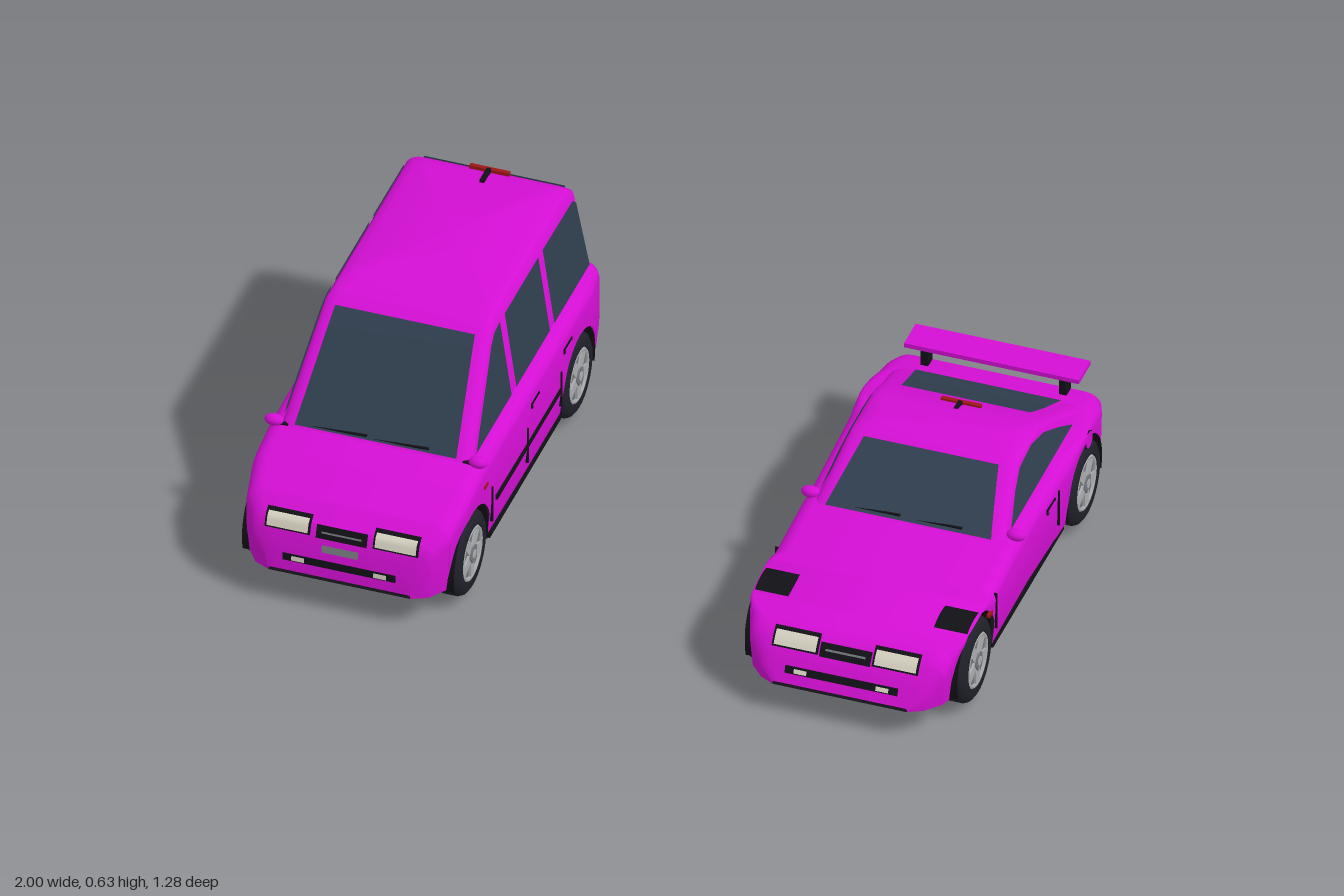
import * as THREE from 'three';
import { toCreasedNormals } from 'three/addons/utils/BufferGeometryUtils.js';

const mat = (name, color) => new THREE.MeshStandardMaterial({ name, color, side: THREE.DoubleSide });
const M = {
  paint: mat('magenta paint', 0xd40fd4), glass: mat('dark glass', 0x2f3e4e), black: mat('black trim', 0x111116),
  tire: mat('tire rubber', 0x20202a), rim: mat('rim silver', 0xa9abae), shade: mat('rim shade', 0x74777b),
  lamp: mat('headlamp', 0xd9d5c4), red: mat('tail lamp red', 0x9c1616),
};
const AXLES = [0.42, -0.4], WHEEL_Y = 0.117, ARCH = 0.132;

// Linear lookup in a table of points, from column i to column j
function at(table, v, i = 0, j = 1) {
  for (let k = 0; k < table.length - 1; k++) {
    const a = table[k], b = table[k + 1];
    if ((v - a[i]) * (v - b[i]) <= 0 && a[i] !== b[i]) return a[j] + (b[j] - a[j]) * (v - a[i]) / (b[i] - a[i]);
  }
  const first = table[0], last = table[table.length - 1];
  return Math.abs(v - first[i]) < Math.abs(v - last[i]) ? first[j] : last[j];
}

// Skin a list of equally long rows of points
function skin(rows, crease = 0.6) {
  const n = rows[0].length, index = [];
  for (let i = 0; i < rows.length - 1; i++) for (let j = 0; j < n - 1; j++) {
    const a = i * n + j, c = a + n;
    index.push(a, c, a + 1, a + 1, c, c + 1);
  }
  const g = new THREE.BufferGeometry();
  g.setAttribute('position', new THREE.Float32BufferAttribute(rows.flat(2), 3));
  g.setIndex(index);
  return toCreasedNormals(g, crease);
}

function add(parent, name, geometry, material, x = 0, y = 0, z = 0) {
  const m = new THREE.Mesh(geometry, material);
  m.name = name;
  m.position.set(x, y, z);
  parent.add(m);
  return m;
}
const box = (parent, name, material, x, y, z, w, h, d) => add(parent, name, new THREE.BoxGeometry(w, h, d), material, x, y, z);

// Flat convex panel from corner points
function panel(parent, name, material, pts) {
  const g = new THREE.BufferGeometry(), index = [];
  for (let i = 1; i < pts.length - 1; i++) index.push(0, i, i + 1);
  g.setAttribute('position', new THREE.Float32BufferAttribute(pts.flat(), 3));
  g.setIndex(index);
  g.computeVertexNormals();
  return add(parent, name, g, material);
}

// Lower body shell, clipped by the wheel arches, with a black floor
function buildBody(car, { top, width, base }) {
  const z0 = top[0][0], z1 = top[top.length - 1][0], zs = top.concat(width).map(p => p[0]);
  for (let i = 0; i <= 40; i++) zs.push(z0 + (z1 - z0) * i / 40);
  for (const c of AXLES) {
    for (let k = 0; k <= 20; k++) zs.push(c + ARCH * 0.999 * Math.cos(Math.PI * k / 20));
    zs.push(c + ARCH * 1.001, c - ARCH * 1.001);
  }
  zs.sort((a, b) => b - a);
  const rows = [], floor = [];
  for (const z of zs) {
    const W = at(width, z), yt = at(top, z);
    const d = Math.min(...AXLES.map(c => Math.abs(z - c)));
    const inArch = d < ARCH;
    const yb = inArch ? Math.min(WHEEL_Y + Math.sqrt(ARCH * ARCH - d * d), yt - 0.002) : base;
    const r = Math.min(0.035, (yt - yb) / 2), h = yt - yb;
    const side = y => W * (0.97 + 0.03 * Math.min(1, (y - base) / 0.08));
    const half = [yb, yb + h * 0.3, yt - r].map(y => [side(y), y, z]);
    for (const a of [22.5, 45, 67.5, 90]) {
      const t = a * Math.PI / 180;
      half.push([side(yt - r) - r * 1.3 * (1 - Math.cos(t)), yt - r + r * Math.sin(t), z]);
    }
    half.push([0, yt, z]);
    rows.push([...half, ...half.slice(0, -1).reverse().map(([x, y, q]) => [-x, y, q])]);
    const f = inArch ? 0.2 : W * 0.97;
    floor.push([[-f, base, z], [f, base, z]]);
  }
  add(car, 'body', skin(rows), M.paint);
  add(car, 'floor', skin(floor), M.black);
  // Wheel wells
  for (const c of AXLES) for (const s of [1, -1]) {
    const end = at(width, c) - 0.006, len = end - 0.2;
    const g = new THREE.CylinderGeometry(ARCH, ARCH, len, 24, 1, true, -Math.PI * 0.6, Math.PI * 1.2);
    g.rotateY(Math.PI / 2).rotateZ(Math.PI / 2);
    g.computeBoundingBox();
    if (g.boundingBox.max.y < ARCH * 0.9) g.rotateX(Math.PI);
    if (g.boundingBox.max.z < ARCH * 0.9) g.rotateX(-Math.PI / 2);
    add(car, 'wheelWell', g, M.black, s * (0.2 + len / 2), WHEEL_Y, c);
    add(car, 'wheelWellWall', new THREE.CircleGeometry(ARCH, 24).rotateY(Math.PI / 2), M.black, s * 0.2, WHEEL_Y, c);
  }
}

// Cabin: rounded plan sections stacked upward; levels are [y, zFront, zRear, halfWidth]
function buildCabin(car, levels) {
  const rows = levels.map(([y, zf, zr, w]) => {
    const ring = [], r = 0.03;
    for (let k = 0; k < 4; k++) for (let i = 0; i <= 4; i++) {
      const a = (k + i / 4) * Math.PI / 2;
      const sx = k === 0 || k === 3 ? 1 : -1;
      ring.push([sx * (w - r) + r * Math.cos(a), y, (k < 2 ? zf - r : zr + r) + r * Math.sin(a)]);
    }
    return [...ring, ring[0]];
  });
  const [y, zf, zr] = levels[levels.length - 1];
  rows.push(rows[0].map(() => [0, y + 0.002, (zf + zr) / 2]));
  add(car, 'cabin', skin(rows), M.paint);
}

// Glass on the front (column 1) or rear (column 2) of the cabin
function endGlass(car, name, levels, column, y0, y1, w0, w1) {
  const rows = [], s = column === 1 ? 1 : -1;
  for (let i = 0; i <= 8; i++) {
    const t = i / 8, y = y0 + (y1 - y0) * t, w = w0 + (w1 - w0) * t;
    const z = at(levels, y, 0, column) + s * 0.005;
    rows.push([[s * w, y + 0.003, z], [-s * w, y + 0.003, z]]);
  }
  add(car, name, skin(rows), M.glass);
}

function sideGlass(car, levels, outline) {
  for (const s of [1, -1]) panel(car, 'sideWindow', M.glass, outline.map(([z, y]) => [s * (at(levels, y, 0, 3) + 0.004), y, z]));
}

// Thin plate lying on the nose or tail, between x0..x1 and y0..y1
function endPlate(car, name, material, top, sign, x0, x1, y0, y1, lift = 0.004) {
  const table = sign > 0 ? top : [...top].reverse(), rows = [];
  for (let i = 0; i <= 4; i++) {
    const y = y0 + (y1 - y0) * i / 4, z = at(table, y, 1, 0) + sign * lift;
    rows.push(sign > 0 ? [[x1, y, z], [x0, y, z]] : [[x0, y, z], [x1, y, z]]);
  }
  add(car, name, skin(rows), material);
}
function endPair(car, name, material, top, sign, x0, x1, y0, y1, lift) {
  endPlate(car, name, material, top, sign, x0, x1, y0, y1, lift);
  endPlate(car, name, material, top, sign, -x1, -x0, y0, y1, lift);
}

function buildWheel(car, x, z, s) {
  const g = new THREE.Group(), h = 0.038;
  g.name = 'wheel';
  const profile = [[0, -h], [0.1, -h], [0.112, -h + 0.008], [0.117, -h + 0.02], [0.117, h - 0.02], [0.112, h - 0.008], [0.1, h], [0.078, h], [0.074, h - 0.012]];
  add(g, 'tire', toCreasedNormals(new THREE.LatheGeometry(profile.map(p => new THREE.Vector2(...p)), 32), 0.7), M.tire);
  add(g, 'rimDisc', new THREE.CylinderGeometry(0.076, 0.076, 0.01, 32), M.shade, 0, h - 0.012, 0);
  add(g, 'rimRing', new THREE.TorusGeometry(0.071, 0.006, 6, 32).rotateX(Math.PI / 2), M.rim, 0, h - 0.005, 0);
  for (let i = 0; i < 5; i++) {
    const a = i * Math.PI * 0.4;
    const spoke = box(g, 'spoke', M.rim, Math.cos(a) * 0.042, h - 0.005, Math.sin(a) * 0.042, 0.055, 0.008, 0.03);
    spoke.rotation.y = -a;
  }
  add(g, 'hub', new THREE.CylinderGeometry(0.026, 0.03, 0.014, 5), M.shade, 0, h - 0.004, 0);
  add(g, 'hubCap', new THREE.CylinderGeometry(0.013, 0.013, 0.018, 12), M.rim, 0, h - 0.004, 0);
  g.position.set(s * (x - h), WHEEL_Y, z);
  g.rotation.z = -s * Math.PI / 2;
  car.add(g);
}

function buildCar(name, x, o) {
  const car = new THREE.Group();
  car.name = name;
  car.position.x = x;
  buildBody(car, o);
  buildCabin(car, o.levels);
  endGlass(car, 'windshield', o.levels, 1, ...o.windshield);
  endGlass(car, 'rearWindow', o.levels, 2, ...o.rearWindow);
  o.windows.forEach(w => sideGlass(car, o.levels, w));
  AXLES.forEach((z, i) => [1, -1].forEach(s => buildWheel(car, o.track[i], z, s)));

  // Nose: headlamps, grille, lower intake, fog lamps
  const [hx0, hx1, hy0, hy1] = o.headlamp, [iy0, iy1] = o.intake;
  endPair(car, 'headlampFrame', M.black, o.top, 1, hx0 - 0.006, hx1 + 0.006, hy0 - 0.006, hy1 + 0.006, 0.004);
  endPair(car, 'headlamp', M.lamp, o.top, 1, hx0, hx1, hy0, hy1, 0.008);
  endPlate(car, 'grille', M.black, o.top, 1, -0.07, 0.07, hy0 - 0.008, hy1 - 0.008, 0.005);
  endPlate(car, 'grilleBar', M.shade, o.top, 1, -0.055, 0.055, hy0 + 0.008, hy0 + 0.013, 0.008);
  endPlate(car, 'intake', M.black, o.top, 1, -0.155, 0.155, iy0, iy1, 0.005);
  endPair(car, 'fogLamp', M.lamp, o.top, 1, 0.095, 0.13, iy0 + 0.004, iy1 - 0.004, 0.008);

  // Tail: lamps, number plate, exhaust
  const [tx0, tx1, ty0, ty1] = o.tail;
  endPair(car, 'tailLampFrame', M.black, o.top, -1, tx0 - 0.006, tx1 + 0.006, ty0 - 0.006, ty1 + 0.006, 0.004);
  endPair(car, 'tailLamp', M.red, o.top, -1, tx0, tx1, ty0, ty1, 0.008);
  endPlate(car, 'rearPlateFrame', M.black, o.top, -1, -0.056, 0.056, ty0 - 0.03, ty0 + 0.006, 0.004);
  endPlate(car, 'rearPlate', M.shade, o.top, -1, -0.05, 0.05, ty0 - 0.025, ty0 + 0.001, 0.008);
  add(car, 'exhaust', new THREE.CylinderGeometry(0.011, 0.011, 0.06, 12).rotateX(Math.PI / 2), M.rim, -0.13, 0.098, -0.613);

  // Roof brake lamp and aerial
  const [ry, rz] = o.roofLamp;
  box(car, 'roofBrakeLamp', M.red, 0, ry, rz, 0.11, 0.01, 0.012);
  box(car, 'aerialBase', M.black, 0, ry + 0.006, rz + 0.035, 0.012, 0.012, 0.055);

  // Sides: sill, mirrors, door seams, handles, indicators
  for (const s of [1, -1]) {
    const onSide = (n, m, z, y, d, h) => box(car, n, m, s * (at(o.width, z) - 0.001), y, z, 0.009, h, d);
    box(car, 'sill', M.black, s * 0.275, o.base - 0.005, 0.01, 0.04, 0.016, 0.55);
    const [mx, my, mz] = o.mirror;
    add(car, 'mirror', new THREE.SphereGeometry(1, 16, 10).scale(0.026, 0.016, 0.017), M.paint, s * mx, my, mz);
    box(car, 'mirrorArm', M.black, s * (mx - 0.025), my - 0.008, mz, 0.03, 0.008, 0.012);
    o.seams.forEach(z => onSide('doorSeam', M.black, z, 0.18, 0.005, 0.11));
    o.handles.forEach(([z, y]) => {
      onSide('handleRecess', M.black, z, y, 0.06, 0.016);
      box(car, 'handle', M.paint, s * (at(o.width, z) + 0.002), y, z, 0.008, 0.007, 0.05);
    });
    onSide('indicator', M.red, 0.325, o.indicatorY, 0.025, 0.009);
    if (o.moulding) onSide('moulding', M.black, 0, o.moulding, 0.5, 0.014);
  }
  // Wipers
  for (const wx of [-0.1, 0.07]) {
    const w = box(car, 'wiper', M.black, wx, o.windshield[0] + 0.008, at(o.levels, o.windshield[0] + 0.008, 0, 1) + 0.006, 0.15, 0.005, 0.006);
    w.rotation.z = 0.04;
  }
  return car;
}

export function createModel() {
  const model = new THREE.Group();
  model.name = 'twoCars';
  model.add(buildCar('van', -0.698, {
    base: 0.085,
    top: [[0.62, 0.095], [0.615, 0.16], [0.59, 0.24], [0.54, 0.28], [0.434, 0.324], [0.33, 0.341], [0, 0.345], [-0.59, 0.345], [-0.602, 0.33], [-0.617, 0.095]],
    width: [[0.62, 0.2], [0.6, 0.245], [0.55, 0.28], [0.45, 0.297], [0, 0.3], [-0.5, 0.3], [-0.58, 0.288], [-0.617, 0.265]],
    levels: [[0.335, 0.345, -0.602, 0.262], [0.576, 0.11, -0.575, 0.228], [0.597, 0.065, -0.55, 0.215], [0.607, 0, -0.52, 0.19]],
    windshield: [0.345, 0.578, 0.222, 0.192], rearWindow: [0.348, 0.575, 0.225, 0.193],
    windows: [
      [[0.302, 0.348], [0.107, 0.55], [0.075, 0.572], [0.03, 0.576], [0.03, 0.348]],
      [[-0.007, 0.348], [-0.007, 0.576], [-0.266, 0.576], [-0.266, 0.348]],
      [[-0.3, 0.348], [-0.3, 0.576], [-0.53, 0.573], [-0.55, 0.555], [-0.572, 0.348]]],
    track: [0.297, 0.298], headlamp: [0.092, 0.205, 0.215, 0.25], intake: [0.128, 0.15],
    tail: [0.15, 0.24, 0.25, 0.29], roofLamp: [0.605, -0.545], mirror: [0.28, 0.347, 0.335],
    seams: [0.28, 0.01, -0.25], handles: [[-0.05, 0.285], [-0.3, 0.285]], indicatorY: 0.27, moulding: 0.18,
  }));
  const van = model.children[0];
  endPlate(van, 'frontPlate', M.shade, [[0.62, 0.095], [0.615, 0.16], [0.59, 0.24]], 1, -0.05, 0.05, 0.173, 0.192, 0.007);

  model.add(buildCar('sportsCar', 0.684, {
    base: 0.075,
    top: [[0.64, 0.085], [0.61, 0.15], [0.583, 0.193], [0.555, 0.22], [0.5, 0.235], [0.3, 0.25], [0.1, 0.268], [-0.5, 0.277], [-0.59, 0.262], [-0.605, 0.24], [-0.624, 0.085]],
    width: [[0.64, 0.19], [0.62, 0.23], [0.58, 0.268], [0.5, 0.295], [0.3, 0.302], [0, 0.298], [-0.4, 0.31], [-0.55, 0.297], [-0.6, 0.278], [-0.624, 0.255]],
    levels: [[0.255, 0.13, -0.55, 0.264], [0.28, 0.092, -0.5, 0.257], [0.317, 0.03, -0.41, 0.245], [0.355, -0.035, -0.33, 0.235], [0.375, -0.07, -0.28, 0.228], [0.386, -0.095, -0.24, 0.212], [0.392, -0.13, -0.21, 0.18]],
    windshield: [0.27, 0.376, 0.228, 0.185], rearWindow: [0.278, 0.355, 0.2, 0.178],
    windows: [[[0.055, 0.274], [-0.03, 0.335], [-0.09, 0.366], [-0.186, 0.373], [-0.265, 0.358], [-0.35, 0.318], [-0.425, 0.278]]],
    track: [0.303, 0.31], headlamp: [0.08, 0.195, 0.175, 0.207], intake: [0.113, 0.132],
    tail: [0.14, 0.235, 0.195, 0.23], roofLamp: [0.37, -0.3], mirror: [0.282, 0.272, 0.07],
    seams: [0.28, -0.195], handles: [[-0.14, 0.222]], indicatorY: 0.2,
  }));
  // Spoiler and fuel cap on the sports car
  const sport = model.children[1];
  box(sport, 'spoilerBoard', M.paint, 0, 0.333, -0.577, 0.48, 0.013, 0.09);
  for (const s of [1, -1]) box(sport, 'spoilerPost', M.black, s * 0.19, 0.297, -0.565, 0.02, 0.06, 0.035);
  add(sport, 'fuelCapSeam', new THREE.CylinderGeometry(0.026, 0.026, 0.012, 24).rotateZ(Math.PI / 2), M.black, 0.302, 0.243, -0.42);
  add(sport, 'fuelCap', new THREE.CylinderGeometry(0.023, 0.023, 0.016, 24).rotateZ(Math.PI / 2), M.paint, 0.302, 0.243, -0.42);
  return model;
}
